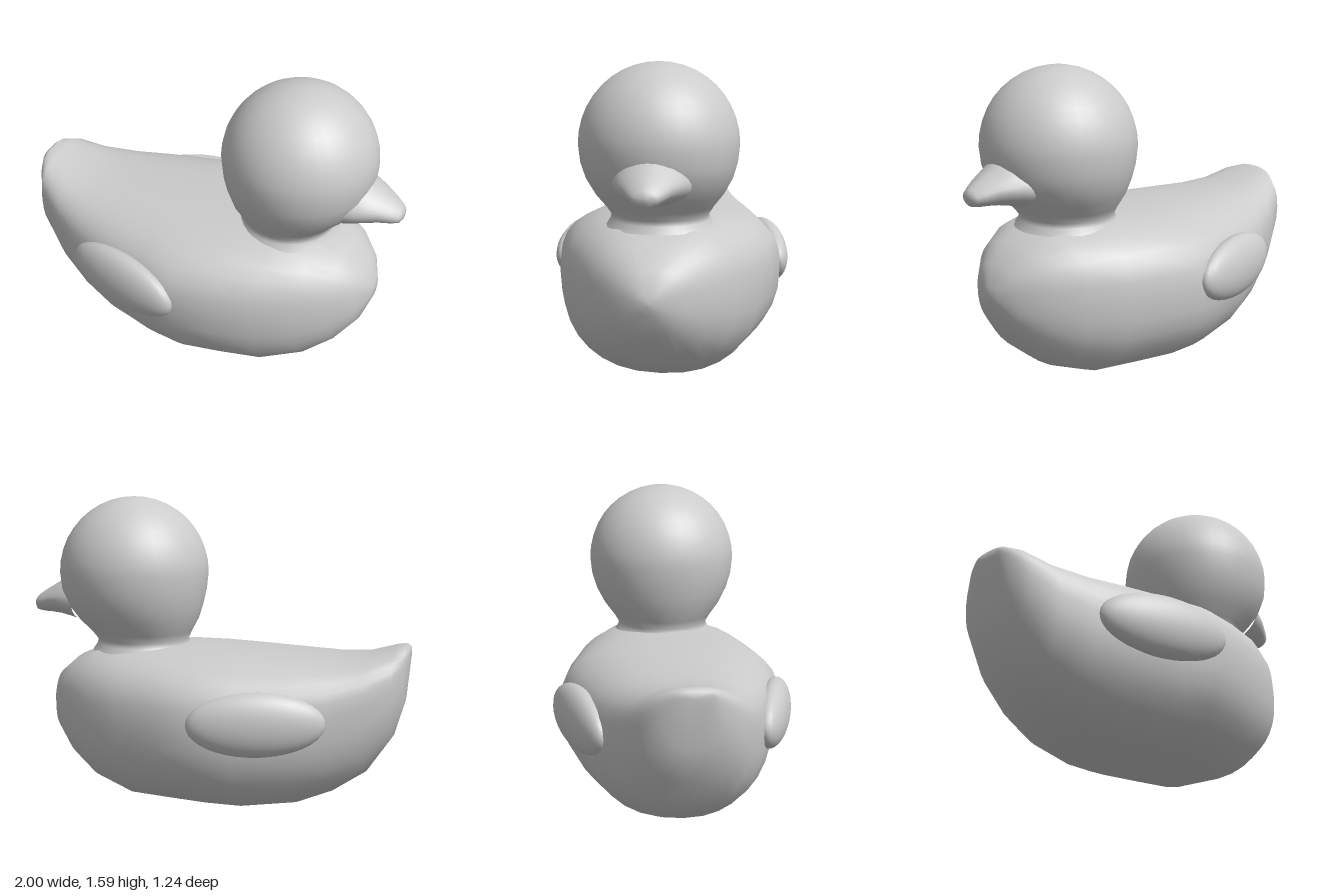
import * as THREE from 'three';
import { mergeVertices } from 'three/addons/utils/BufferGeometryUtils.js';

const material = new THREE.MeshStandardMaterial({ color: 0xcccccc });

function part(name, geometry) {
  const mesh = new THREE.Mesh(geometry, material);
  mesh.name = name;
  return mesh;
}

// Skin of superellipse sections along x: [x, bottom, widest height, top, half width]
function loft(sections, lowPower, highPower, sides = 32) {
  const positions = [], index = [];
  sections.forEach(([x, bottom, mid, top, width], i) => {
    for (let j = 0; j < sides; j++) {
      const a = (j / sides) * Math.PI * 2;
      const c = Math.cos(a), s = Math.sin(a);
      const e = 2 / (s > 0 ? highPower : lowPower);
      const rise = Math.abs(s) ** e;
      const y = s > 0 ? mid + (top - mid) * rise : mid - (mid - bottom) * rise;
      positions.push(x, y, Math.sign(c) * width * Math.abs(c) ** e);
      if (i === sections.length - 1) continue;
      const p = i * sides + j, q = i * sides + ((j + 1) % sides);
      index.push(p, p + sides, q, q, p + sides, q + sides);
    }
  });
  const g = new THREE.BufferGeometry();
  g.setAttribute('position', new THREE.Float32BufferAttribute(positions, 3));
  g.setIndex(index);
  g.computeVertexNormals();
  return g;
}

// Round head narrowing to a neck that leans back slightly and flares into the body
function headGeometry() {
  const cy = 1.2, r = 0.39;
  const profile = [[0.27, 0.79], [0.245, 0.825], [0.24, 0.85], [0.265, 0.89], [0.315, 0.955], [0.355, 1.03], [0.38, 1.11]]
    .map(([x, y]) => new THREE.Vector2(x, y));
  for (let i = 0; i <= 10; i++) {
    const a = (i / 10) * Math.PI / 2;
    profile.push(new THREE.Vector2(r * Math.cos(a), cy + r * Math.sin(a)));
  }
  let g = new THREE.LatheGeometry(profile, 32);
  const p = g.attributes.position;
  for (let i = 0; i < p.count; i++) {
    const t = THREE.MathUtils.smoothstep(p.getY(i), 0.8, 1.1);
    p.setX(i, p.getX(i) + 0.4 + 0.05 * t);
  }
  g.deleteAttribute('uv');
  g.deleteAttribute('normal');
  g = mergeVertices(g, 1e-4);
  g.computeVertexNormals();
  return g;
}

export function createModel() {
  const model = new THREE.Group();
  model.name = 'duck';

  // Body, from the upturned tail to the breast
  model.add(part('body', loft([
    [-1.0, 0.82, 0.82, 0.82, 0],
    [-1.0, 0.78, 0.82, 0.855, 0.09],
    [-0.98, 0.57, 0.76, 0.87, 0.15],
    [-0.93, 0.4, 0.68, 0.86, 0.24],
    [-0.8, 0.21, 0.6, 0.822, 0.31],
    [-0.63, 0.1, 0.54, 0.81, 0.39],
    [-0.45, 0.03, 0.52, 0.815, 0.46],
    [-0.18, 0, 0.5, 0.825, 0.54],
    [0, 0.01, 0.5, 0.83, 0.58],
    [0.2, 0.02, 0.5, 0.835, 0.545],
    [0.41, 0.03, 0.49, 0.835, 0.49],
    [0.6, 0.1, 0.49, 0.815, 0.395],
    [0.74, 0.21, 0.5, 0.75, 0.29],
    [0.84, 0.34, 0.5, 0.665, 0.17],
    [0.885, 0.46, 0.51, 0.56, 0.06],
    [0.89, 0.51, 0.51, 0.51, 0],
  ], 2.3, 2.6)));

  model.add(part('head', headGeometry()));

  // Beak, broad at the face with a blunt tip
  model.add(part('beak', loft([
    [0.74, 0.94, 1.05, 1.2, 0.19],
    [0.8, 0.955, 1.05, 1.18, 0.17],
    [0.85, 0.965, 1.05, 1.145, 0.145],
    [0.9, 0.97, 1.045, 1.115, 0.115],
    [0.95, 0.972, 1.03, 1.085, 0.085],
    [0.985, 0.978, 1.02, 1.06, 0.06],
    [0.998, 0.995, 1.02, 1.045, 0.035],
    [1.0, 1.02, 1.02, 1.02, 0],
  ], 2, 1.7, 24)));

  // Wings, shallow bulges following the flanks
  for (const side of [1, -1]) {
    const wing = part(side > 0 ? 'leftWing' : 'rightWing', new THREE.SphereGeometry(1, 32, 20));
    wing.scale.set(0.34, 0.16, 0.09);
    wing.position.set(-0.31, 0.525, side * 0.49);
    wing.rotation.y = -side * 0.28;
    model.add(wing);
  }
  return model;
}
